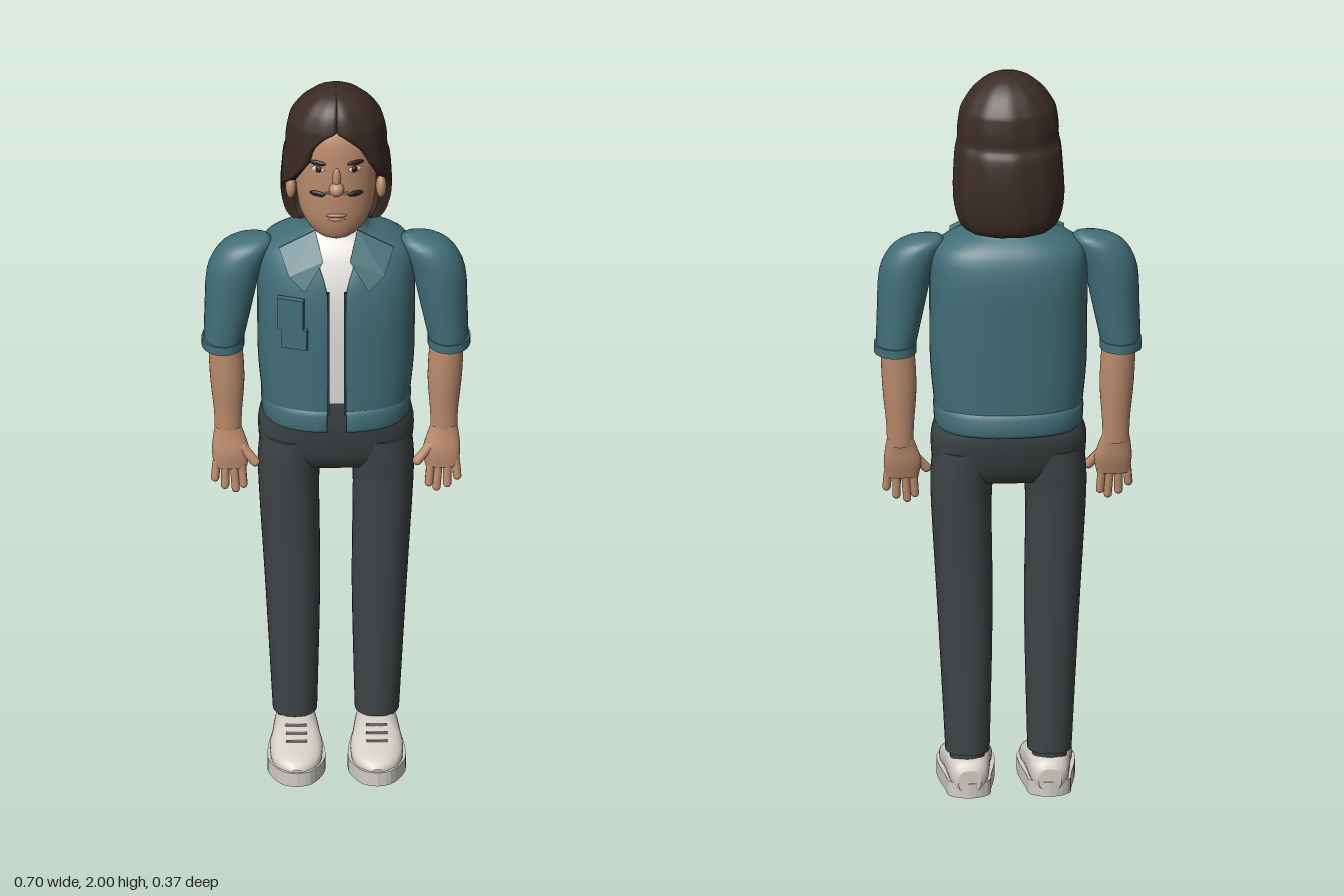
import * as THREE from 'three';
import { ConvexGeometry } from 'three/addons/geometries/ConvexGeometry.js';

const mat = (name, color, side = THREE.FrontSide) => {
  const m = new THREE.MeshStandardMaterial({ color, side });
  m.name = name;
  return m;
};

// Smoothly subdivides rows of numbers with a Catmull-Rom rule
function smoothRows(rows, steps) {
  const out = [];
  for (let i = 0; i < rows.length - 1; i++) {
    const a = rows[Math.max(i - 1, 0)], b = rows[i], c = rows[i + 1], d = rows[Math.min(i + 2, rows.length - 1)];
    for (let s = 0; s < steps; s++) {
      const t = s / steps;
      out.push(b.map((_, k) => 0.5 * (2 * b[k] + (c[k] - a[k]) * t
        + (2 * a[k] - 5 * b[k] + 4 * c[k] - d[k]) * t * t + (3 * b[k] - a[k] - 3 * c[k] + d[k]) * t ** 3)));
    }
  }
  out.push(rows[rows.length - 1]);
  return out;
}

// Skins rings listed bottom to top: [y, centreX, radiusX, frontZ, backZ, gapLeft, gapRight]
// gaps are angles left open at the front; lip folds the open edges inward
function loft(rows, { p = 1, n = 32, steps = 3, open = false, lip = 1, ripple = 0 } = {}) {
  const secs = smoothRows(rows, steps), pos = [], idx = [];
  const cols = open ? n + 1 : n;
  const pw = v => Math.sign(v) * Math.abs(v) ** p;
  secs.forEach(([y, cx, rx, zf, zb, gl = 0, gr = 0]) => {
    for (let j = 0; j < cols; j++) {
      const g0 = Math.max(gl, 0), g1 = Math.max(gr, 0);
      const u = open ? THREE.MathUtils.clamp((j - 1) / (n - 2), 0, 1) : j / n;
      const t = g0 + u * (2 * Math.PI - g0 - g1);
      const k = (open && (j === 0 || j === n) ? lip : 1) * (1 + ripple * Math.sin(11 * t + y * 9));
      pos.push(cx + k * rx * pw(Math.sin(t)), y, (zf + zb) / 2 + k * (zf - zb) / 2 * pw(Math.cos(t)));
    }
  });
  for (let i = 0; i < secs.length - 1; i++) {
    for (let j = 0; j < n; j++) {
      const a = i * cols + j, b = i * cols + (j + 1) % cols;
      idx.push(a, b, b + cols, a, b + cols, a + cols);
    }
  }
  // End caps with their own corners, so rims stay crisp
  if (!open) for (const top of [false, true]) {
    const start = top ? (secs.length - 1) * cols : 0, [y, cx, , zf, zb] = secs[top ? secs.length - 1 : 0];
    const c = pos.length / 3;
    pos.push(cx, y, (zf + zb) / 2);
    for (let j = 0; j < n; j++) pos.push(...pos.slice((start + j) * 3, (start + j) * 3 + 3));
    for (let j = 0; j < n; j++) {
      const a = c + 1 + j, b = c + 1 + (j + 1) % n;
      top ? idx.push(c, a, b) : idx.push(c, b, a);
    }
  }
  const g = new THREE.BufferGeometry();
  g.setAttribute('position', new THREE.Float32BufferAttribute(pos, 3));
  g.setIndex(idx);
  g.computeVertexNormals();
  return g;
}

export function createModel() {
  const root = new THREE.Group();
  const teal = mat('jacket teal', 0x426f78, THREE.DoubleSide), darkTeal = mat('zip dark teal', 0x243f46);
  const charcoal = mat('trouser charcoal', 0x3e4446), brown = mat('hair brown', 0x3b2c25, THREE.DoubleSide);
  const skin = mat('skin', 0xbd8d6e), white = mat('shirt white', 0xe2dedb);
  const shoeMat = mat('shoe off-white', 0xd3cec6), lace = mat('lace grey', 0x8f8b85);
  const dark = mat('eye dark', 0x2a1d19), lips = mat('lip', 0xa87460);

  const add = (name, geo, m, parent = root) => {
    const mesh = new THREE.Mesh(geo, m);
    mesh.name = name;
    parent.add(mesh);
    return mesh;
  };
  const ball = (name, m, x, y, z, sx, sy, sz, parent = root) => {
    const mesh = add(name, new THREE.SphereGeometry(1, 18, 12), m, parent);
    mesh.position.set(x, y, z);
    mesh.scale.set(sx, sy, sz);
    return mesh;
  };
  const rod = (name, m, a, b, r, parent) => {
    const va = new THREE.Vector3(...a), d = new THREE.Vector3(...b).sub(va);
    const mesh = add(name, new THREE.CapsuleGeometry(r, d.length(), 4, 10), m, parent);
    mesh.position.copy(va).addScaledVector(d, 0.5);
    mesh.quaternion.setFromUnitVectors(new THREE.Vector3(0, 1, 0), d.normalize());
  };

  // Trousers: hips and two tapering legs
  add('trouserHips', loft([[0.88, 0, 0.17, 0.035, -0.11], [0.92, 0, 0.197, 0.06, -0.135], [1.0, 0, 0.203, 0.08, -0.16],
    [1.05, 0, 0.188, 0.088, -0.16], [1.12, 0, 0.18, 0.09, -0.15]], { p: 0.8 }), charcoal);

  for (const s of [1, -1]) {
    const side = s > 0 ? 'left' : 'right';
    add(side + 'TrouserLeg', loft([[0.115, s * 0.107, 0.058, 0.02, -0.1], [0.5, s * 0.113, 0.072, 0.035, -0.108],
      [0.8, s * 0.123, 0.079, 0.05, -0.125], [0.9, s * 0.12, 0.083, 0.06, -0.135], [0.97, s * 0.11, 0.085, 0.065, -0.14]],
    { p: 0.9 }), charcoal);
    add(side + 'Ankle', loft([[0.06, s * 0.107, 0.045, 0.01, -0.085], [0.13, s * 0.107, 0.045, 0.01, -0.085]]), charcoal);

    // Shoe: flat sole, rounded upper swept from heel to toe, laces
    const shoe = new THREE.Group();
    shoe.name = side + 'Shoe';
    shoe.position.x = s * 0.105;
    root.add(shoe);
    const outline = [[0, -0.185], [0.04, -0.17], [0.073, -0.11], [0.073, -0.04], [0.06, 0.04], [0.05, 0.09], [0, 0.112],
      [-0.05, 0.09], [-0.06, 0.04], [-0.073, -0.04], [-0.073, -0.11], [-0.04, -0.17]];
    const curve = new THREE.SplineCurve([...outline, outline[0]].map(q => new THREE.Vector2(...q)));
    const sole = new THREE.ExtrudeGeometry(new THREE.Shape(curve.getPoints(40)), { depth: 0.04, bevelEnabled: false });
    add('sole', sole.rotateX(-Math.PI / 2), shoeMat, shoe);
    const profile = [[-0.108, 0.03, 0.075], [-0.09, 0.048, 0.098], [-0.04, 0.056, 0.108], [0.02, 0.062, 0.11],
      [0.07, 0.069, 0.095], [0.12, 0.064, 0.077], [0.155, 0.046, 0.064], [0.178, 0.015, 0.048]];
    const upper = loft(profile.map(([z, r, h]) => [z, 0, r, -0.015, -h]), { p: 0.8 });
    add('upper', upper.rotateX(Math.PI / 2), shoeMat, shoe);
    for (let i = 0; i < 3; i++) {
      const strap = add('lace', new THREE.BoxGeometry(0.055, 0.005, 0.006), lace, shoe);
      strap.position.set(0, 0.105 - i * 0.009, 0.045 + i * 0.026);
    }

    // Sleeve with turned cuff
    add(side + 'Sleeve', loft([[1.24, s * 0.294, 0.052, 0.036, -0.084], [1.35, s * 0.281, 0.062, 0.04, -0.088],
      [1.45, s * 0.268, 0.07, 0.042, -0.092], [1.51, s * 0.245, 0.068, 0.034, -0.088],
      [1.54, s * 0.222, 0.054, 0.015, -0.075], [1.555, s * 0.2, 0.02, -0.02, -0.045]]), teal);
    add(side + 'Cuff', loft([[1.226, s * 0.295, 0.056, 0.041, -0.089], [1.25, s * 0.295, 0.056, 0.041, -0.089]], { steps: 1 }), teal);

    // Bare forearm and open hand
    const hand = new THREE.Group();
    hand.name = side + 'ArmAndHand';
    root.add(hand);
    add('forearm', loft([[0.96, s * 0.282, 0.034, 0.004, -0.045], [1.03, s * 0.282, 0.037, 0.008, -0.052],
      [1.13, s * 0.284, 0.045, 0.018, -0.062], [1.25, s * 0.29, 0.044, 0.02, -0.068]]), skin, hand);
    add('palm', loft([[0.865, s * 0.276, 0.043, 0.012, -0.018], [0.91, s * 0.275, 0.049, 0.015, -0.032],
      [0.95, s * 0.279, 0.042, 0.008, -0.038], [0.98, s * 0.282, 0.034, 0.004, -0.045]], { p: 0.85 }), skin, hand);
    [[0.312, 0.316, 0.835], [0.29, 0.29, 0.812], [0.268, 0.262, 0.802], [0.247, 0.242, 0.815]].forEach(([x0, x1, y]) =>
      rod('finger', skin, [s * x0, 0.88, -0.003], [s * x1, y, 0.003], 0.011, hand));
    rod('thumb', skin, [s * 0.245, 0.925, -0.003], [s * 0.212, 0.885, 0.008], 0.013, hand);

    // Collar flap, zip edge
    const flap = [[0.055, 1.6, 0.03], [0.15, 1.55, 0.035], [0.125, 1.495, 0.092], [0.083, 1.46, 0.112], [0.035, 1.535, 0.085]];
    const pts = flap.flatMap(([x, y, z]) => [0, -0.014].map(d => new THREE.Vector3(s * x, y + d * 0.5, z + d)));
    add(side + 'CollarFlap', new ConvexGeometry(pts), teal);
    const zip = add(side + 'Zip', new THREE.BoxGeometry(0.007, 0.37, 0.008), darkTeal);
    zip.position.set(s * 0.022, 1.27, 0.106);
  }

  // Jacket body, open down the front, with shirt beneath
  const body = [[1.08, 0, 0.193, 0.105, -0.165, 0.06], [1.2, 0, 0.204, 0.108, -0.17, 0.06], [1.35, 0, 0.206, 0.11, -0.176, 0.06],
    [1.45, 0, 0.206, 0.1, -0.178, 0.08], [1.52, 0, 0.195, 0.075, -0.165, 0.18], [1.555, 0, 0.15, 0.055, -0.14, 0.28],
    [1.58, 0, 0.09, 0.035, -0.11, 0.6], [1.615, 0, 0.075, 0.02, -0.1, 0.9]].map(r => [...r, r[5]]);
  const opened = { p: 0.8, n: 48, open: true, lip: 0.95 };
  add('jacketBody', loft(body, opened), teal);
  add('jacketHem', loft([[1.03, 0, 0.188, 0.108, -0.172, 0.08, 0.08], [1.04, 0, 0.194, 0.114, -0.18, 0.08, 0.08],
    [1.08, 0, 0.196, 0.114, -0.18, 0.08, 0.08], [1.092, 0, 0.19, 0.106, -0.168, 0.08, 0.08]], { ...opened, steps: 1 }), teal);
  add('shirt', loft(body.map(([y, x, r, f, b]) => [y < 1.1 ? 1.11 : y - 0.006, x, r * 0.94, f - 0.009, b + 0.012]), { p: 0.8 }), white);

  // Breast pocket with flap
  [[-0.12, 1.387, 0.07, 0.095, 0.1], [-0.11, 1.315, 0.07, 0.06, 0.1]].forEach(([x, y, w, h, z]) => {
    const pocket = add('breastPocket', new THREE.BoxGeometry(w, h, 0.016), teal);
    pocket.position.set(x, y, z);
    pocket.rotation.y = -0.3;
  });

  // Neck and head
  add('neck', loft([[1.5, 0, 0.058, 0.01, -0.1], [1.65, 0, 0.055, 0.01, -0.1]]), skin);
  add('head', loft([[1.575, 0, 0.03, 0.03, -0.05], [1.59, 0, 0.062, 0.047, -0.08], [1.63, 0, 0.09, 0.06, -0.11],
    [1.68, 0, 0.102, 0.066, -0.125], [1.75, 0, 0.107, 0.069, -0.13], [1.82, 0, 0.109, 0.07, -0.13],
    [1.89, 0, 0.1, 0.062, -0.12], [1.94, 0, 0.06, 0.03, -0.08]]), skin);
  ball('nose', skin, 0, 1.748, 0.07, 0.02, 0.02, 0.021);
  ball('noseBridge', skin, 0, 1.78, 0.064, 0.012, 0.035, 0.014);
  ball('upperLip', lips, 0, 1.664, 0.063, 0.027, 0.006, 0.007);
  ball('lowerLip', lips, 0, 1.652, 0.061, 0.022, 0.006, 0.007);
  for (const s of [1, -1]) {
    ball('ear', skin, s * 0.118, 1.7, -0.028, 0.014, 0.034, 0.022);
    const face = (name, m, x, y, z, w, h) => { ball(name, m, s * x, y, z, w, h, 0.005).rotation.y = s * 0.4; };
    face('eyebrow', dark, 0.05, 1.822, 0.059, 0.024, 0.007);
    face('eyeWhite', white, 0.048, 1.803, 0.059, 0.018, 0.008);
    face('iris', dark, 0.047, 1.804, 0.062, 0.009, 0.009);
    face('lowerLash', dark, 0.05, 1.728, 0.058, 0.022, 0.008);
  }
  add('lashBridge', new THREE.BoxGeometry(0.06, 0.005, 0.006), lace).position.set(0, 1.735, 0.068);

  // Hair: one shell parted at the front, turned in at the edges and underneath
  add('hair', loft([[1.6, 0, 0.06, 0.01, -0.1, 1.75, 1.75], [1.58, 0, 0.105, 0.03, -0.14, 1.7, 1.7],
    [1.6, 0, 0.128, 0.04, -0.162, 1.65, 1.65], [1.65, 0, 0.142, 0.05, -0.172, 1.6, 1.55], [1.7, 0, 0.145, 0.06, -0.174, 1.5, 1.4],
    [1.75, 0, 0.143, 0.068, -0.172, 1.1, 0.95], [1.8, 0, 0.139, 0.073, -0.165, 0.78, 0.66], [1.825, 0, 0.133, 0.075, -0.153, 0.7, 0.58],
    [1.86, 0, 0.132, 0.077, -0.153, 0.52, 0.5], [1.9, 0, 0.126, 0.076, -0.148, 0.2, 0.24], [1.92, 0, 0.118, 0.073, -0.142, 0, 0],
    [1.96, 0, 0.09, 0.057, -0.115, 0, 0], [1.99, 0, 0.048, 0.02, -0.075, 0, 0], [2.0, 0, 0.001, -0.029, -0.031, 0, 0]],
  { n: 72, open: true, lip: 0.78, ripple: 0.012 }), brown);

  return root;
}
